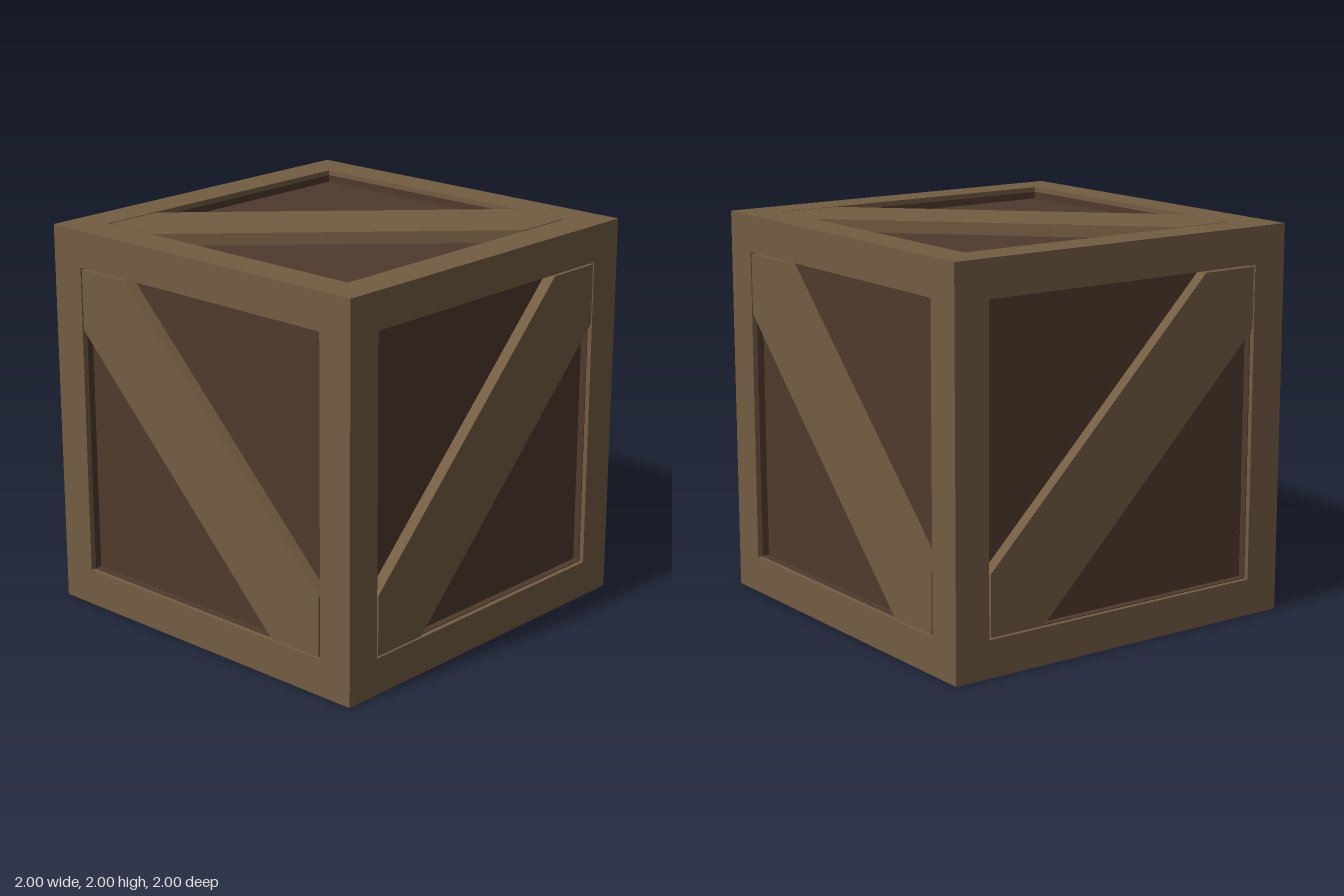
import * as THREE from 'three';

const SIZE = 2;       // outer edge length
const BEAM = 0.19;    // frame beam width
const RECESS = 0.062; // how far the panels sit behind the frame
const LINING = 0.037; // height of the dark lining around each panel

export function createModel() {
  const model = new THREE.Group();
  model.name = 'crate';

  const frameWood = new THREE.MeshStandardMaterial({ color: 0x735c42 });
  frameWood.name = 'light wood';
  const panelWood = new THREE.MeshStandardMaterial({ color: 0x4f3a2d });
  panelWood.name = 'dark wood';

  const add = (parent, geometry, material, name, x = 0, y = 0, z = 0) => {
    const mesh = new THREE.Mesh(geometry, material);
    mesh.name = name;
    mesh.position.set(x, y, z);
    parent.add(mesh);
  };
  const points = (list) => list.map(([x, y]) => new THREE.Vector2(x, y));
  const square = (h) => points([[-h, -h], [h, -h], [h, h], [-h, h]]);
  const extrude = (shape, depth) =>
    new THREE.ExtrudeGeometry(shape, { depth, bevelEnabled: false });

  const body = new THREE.Group();
  body.name = 'crateBody';
  body.position.y = SIZE / 2;
  model.add(body);

  // Dark panels: the six sides of one inner box
  const inner = SIZE - 2 * RECESS;
  add(body, new THREE.BoxGeometry(inner, inner, inner), panelWood, 'panels');

  // Frame: four corner posts, and four rails at top and bottom
  const c = SIZE / 2 - BEAM / 2;
  const gap = SIZE - 2 * BEAM;
  const post = new THREE.BoxGeometry(BEAM, SIZE, BEAM);
  const railX = new THREE.BoxGeometry(gap, BEAM, BEAM);
  const railZ = new THREE.BoxGeometry(BEAM, BEAM, gap);
  for (const a of [-c, c]) {
    for (const b of [-c, c]) {
      add(body, post, frameWood, 'cornerPost', a, 0, b);
      add(body, railX, frameWood, 'crossRail', 0, a, b);
      add(body, railZ, frameWood, 'sideRail', a, b, 0);
    }
  }

  // Dark lining on the lower part of the recess walls
  const liningShape = new THREE.Shape(square(gap / 2));
  liningShape.holes.push(new THREE.Path(square(gap / 2 - 0.004)));
  const lining = extrude(liningShape, LINING);

  // Diagonal brace, flush with the frame, its ends cut to fit the corners
  const e = gap / 2 - 0.009;
  const k = 0.49;
  const rising = extrude(new THREE.Shape(points([
    [-e, -e], [-k, -e], [e, k], [e, e], [k, e], [-e, -k],
  ])), RECESS);
  const falling = rising.clone().rotateZ(Math.PI / 2);

  // One side each: name, rotation about x, rotation about y, brace
  const q = Math.PI / 2;
  for (const [name, rx, ry, brace] of [
    ['frontSide', 0, 0, rising],
    ['backSide', 0, 2 * q, rising],
    ['leftSide', 0, q, falling],
    ['rightSide', 0, -q, falling],
    ['topSide', -q, 0, falling],
    ['bottomSide', q, 0, falling],
  ]) {
    const side = new THREE.Group();
    side.name = name;
    side.rotation.set(rx, ry, 0);
    add(side, brace, frameWood, 'brace', 0, 0, inner / 2);
    add(side, lining, panelWood, 'recessLining', 0, 0, inner / 2);
    body.add(side);
  }

  return model;
}
